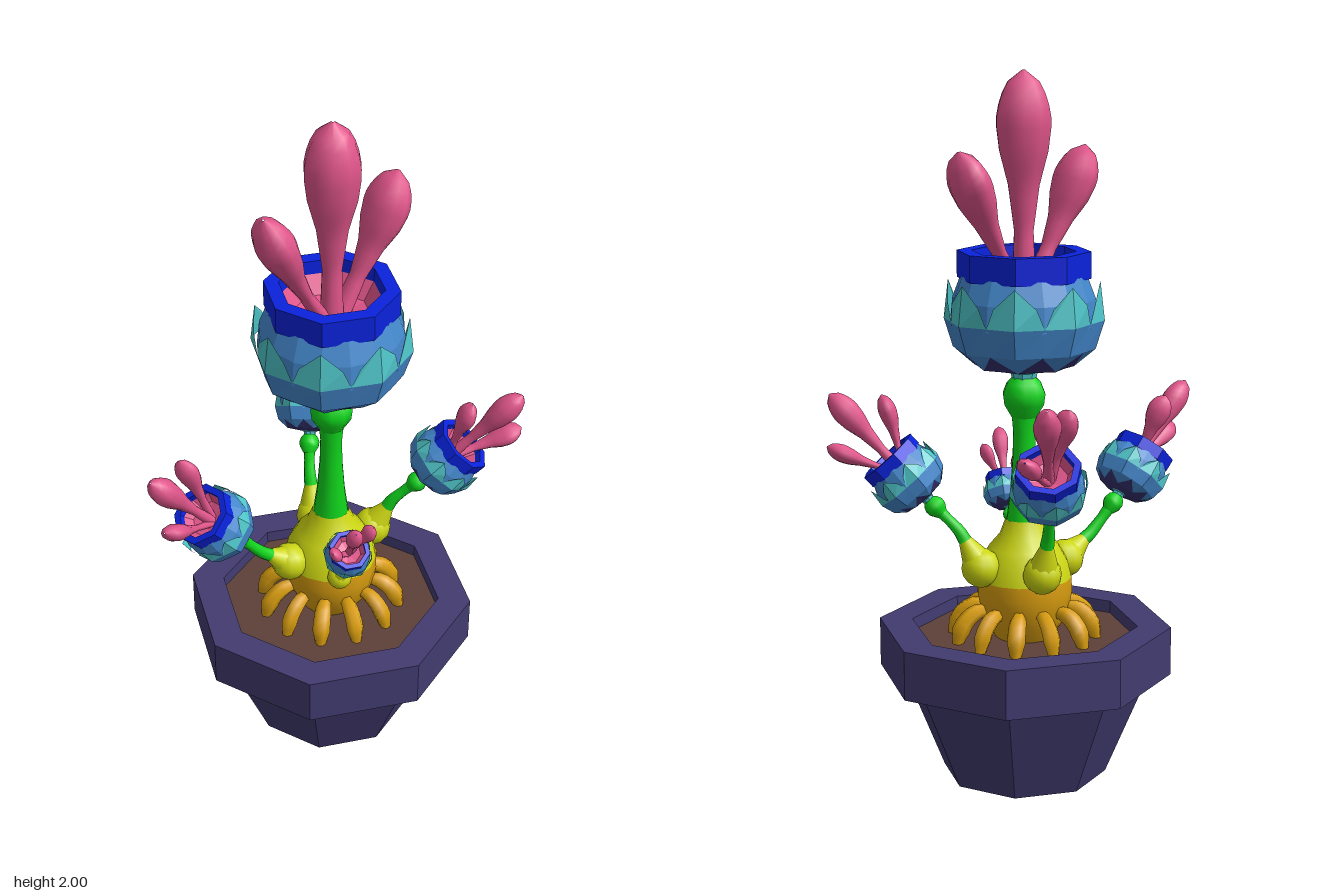
import * as THREE from 'three';
import { mergeVertices } from 'three/addons/utils/BufferGeometryUtils.js';

function mat(name, color, side = THREE.FrontSide) {
  const m = new THREE.MeshStandardMaterial({ color, side });
  m.name = name;
  return m;
}

const V = (a) => new THREE.Vector3(...a);

function add(parent, name, geometry, material) {
  const mesh = new THREE.Mesh(geometry, material);
  mesh.name = name;
  parent.add(mesh);
  return mesh;
}

// Revolved profile of [radius, height] pairs, faceted when flat is true
function lathe(points, sides, flat = false) {
  const g = new THREE.LatheGeometry(points.map((p) => new THREE.Vector2(...p)), sides);
  if (!flat) return g;
  const f = g.toNonIndexed();
  f.computeVertexNormals();
  return f;
}

// Linear lookup in a table of [t, value] pairs
function lookup(table, t) {
  for (let i = 1; i < table.length; i++) {
    const [t0, v0] = table[i - 1], [t1, v1] = table[i];
    if (t <= t1) return v0 + ((v1 - v0) * (t - t0)) / (t1 - t0);
  }
  return table[table.length - 1][1];
}

// Tube along a smooth path whose radius follows a table
function taperTube(path, table, sides = 8, rings = 20, zScale = 1) {
  const curve = new THREE.CatmullRomCurve3(path.map(V));
  let g = new THREE.TubeGeometry(curve, rings, 1, sides, false);
  const pos = g.attributes.position, v = new THREE.Vector3();
  for (let i = 0; i < pos.count; i++) {
    const t = Math.floor(i / (sides + 1)) / rings;
    const c = curve.getPointAt(t);
    v.fromBufferAttribute(pos, i).sub(c).multiplyScalar(lookup(table, t));
    v.z *= zScale;
    v.add(c);
    pos.setXYZ(i, v.x, v.y, v.z);
  }
  g.deleteAttribute('uv');
  g.deleteAttribute('normal');
  g = mergeVertices(g, 1e-5);
  g.computeVertexNormals();
  return g;
}

// Faceted geometry from a list of convex polygons
function facets(polys) {
  const out = [];
  for (const p of polys)
    for (let i = 1; i < p.length - 1; i++) out.push(...p[0], ...p[i], ...p[i + 1]);
  const g = new THREE.BufferGeometry();
  g.setAttribute('position', new THREE.Float32BufferAttribute(out, 3));
  g.computeVertexNormals();
  return g;
}

// Eight pointed petals: dark feet, blue bellies and teal tips
function petalFaces() {
  const teal = [], blue = [], navy = [];
  for (let k = 0; k < 8; k++) {
    const P = (half, r, y) => {
      const a = ((k + half / 2) * Math.PI) / 4;
      return [Math.sin(a) * r, y, Math.cos(a) * r];
    };
    const c1 = P(0, 0.14, 0.09), c2 = P(0, 0.2, 0.14), c3 = P(0, 0.225, 0.22);
    const tip = P(0, 0.212, 0.33), c0 = P(0, 0.04, 0.075);
    const [l0, r0] = [-1, 1].map((s) => P(s, 0.04, 0.075));
    const [l1, r1] = [-1, 1].map((s) => P(s, 0.125, 0.09));
    const [l2, r2] = [-1, 1].map((s) => P(s, 0.187, 0.14));
    const [l3, r3] = [-1, 1].map((s) => P(s, 0.208, 0.22));
    const [l4, r4] = [-1, 1].map((s) => P(s * 0.72, 0.212, 0.275));
    navy.push([l0, c0, c1, l1], [c0, r0, r1, c1], [l1, c1, l2], [c1, r1, r2]);
    blue.push([l2, c1, c2], [c1, r2, c2], [l2, c2, c3, l3], [c2, r2, r3, c3]);
    teal.push([l3, c3, tip, l4], [c3, r3, r4, tip]);
  }
  return { teal, blue, navy };
}

const PISTIL = [[0, 0.035], [0.3, 0.028], [0.5, 0.045], [0.65, 0.07], [0.78, 0.08],
  [0.88, 0.068], [0.95, 0.045], [1, 0.004]];

export function createModel() {
  const root = new THREE.Group();
  root.name = 'pottedFlower';
  const M = {
    pot: mat('potPurple', 0x423b70),
    soil: mat('soilBrown', 0x5c4038),
    yellow: mat('bulbYellow', 0xccd612),
    orange: mat('rootOrange', 0xdb9f10),
    green: mat('stemGreen', 0x10d41c),
    rim: mat('rimBlue', 0x0a22dc),
    teal: mat('petalTeal', 0x50c6ca, THREE.DoubleSide),
    blue: mat('petalBlue', 0x4488cc),
    navy: mat('petalNavy', 0x35306e),
    pink: mat('pistilPink', 0xe0558a),
  };

  const plant = new THREE.Group();
  plant.name = 'plant';
  plant.position.set(0.05, 0, 0.012);
  root.add(plant);

  // Octagonal pot with a thick rim, and the soil inside
  add(plant, 'pot', lathe([[0, 0], [0.235, 0], [0.36, 0.3], [0.42, 0.3], [0.42, 0.44],
    [0.325, 0.44], [0.322, 0.39]], 8, true), M.pot);
  add(plant, 'soil', lathe([[0.324, 0.405], [0, 0.405]], 8, true), M.soil);

  // Bulb in two colours
  add(plant, 'bulbLower', lathe([[0.08, 0.4], [0.105, 0.44], [0.128, 0.49], [0.137, 0.54],
    [0.135, 0.58]], 16), M.orange);
  add(plant, 'bulbUpper', lathe([[0.135, 0.58], [0.125, 0.625], [0.1, 0.67], [0.07, 0.705],
    [0.053, 0.75]], 16), M.yellow);

  // Ring of arched roots
  const rootGeo = taperTube([[0.09, 0.485, 0], [0.14, 0.492, 0], [0.185, 0.46, 0], [0.21, 0.39, 0]],
    [[0, 0.012], [0.35, 0.024], [0.7, 0.026], [1, 0.012]], 6, 10);
  for (let i = 0; i < 12; i++)
    add(plant, 'root', rootGeo, M.orange).rotation.y = ((i + 0.5) * Math.PI) / 6;

  // Main stem
  add(plant, 'mainStem', lathe([[0.053, 0.74], [0.042, 0.82], [0.034, 0.92], [0.032, 1.0],
    [0.038, 1.07]], 10), M.green);

  // Shared flower parts, with the origin at the knob under the flower
  const faces = petalFaces();
  const sidePath = (s) => [[s * 0.02, 0.3, 0], [s * 0.08, 0.4, 0], [s * 0.16, 0.55, 0], [s * 0.22, 0.69, 0]];
  const slim = PISTIL.map(([t, r]) => [t, r * 0.66]);
  const parts = [
    ['knob', lathe([[0.034, -0.06], [0.058, -0.02], [0.062, 0.01], [0.05, 0.04], [0.03, 0.06]], 10), M.green],
    ['neck', lathe([[0.032, 0.04], [0.038, 0.07], [0.07, 0.092]], 8, true), M.teal],
    ['petalFeet', facets(faces.navy), M.navy],
    ['petalBellies', facets(faces.blue), M.blue],
    ['petalTips', facets(faces.teal), M.teal],
    ['cup', lathe([[0.207, 0.21], [0.2, 0.28], [0.175, 0.345]], 16, true), M.blue],
    ['rim', lathe([[0.17, 0.335], [0.187, 0.335], [0.187, 0.41], [0.145, 0.41], [0.142, 0.35]], 8, true), M.rim],
    ['bowl', lathe([[0.146, 0.375], [0.11, 0.32], [0, 0.29]], 8, true), M.pink],
    ['centrePistil', taperTube([[0, 0.28, 0], [0, 0.5, 0], [0, 0.7, 0], [0, 0.9, 0]], PISTIL, 10), M.pink],
    ['leftPistil', taperTube(sidePath(1), slim, 10, 20, 1.45), M.pink],
    ['rightPistil', taperTube(sidePath(-1), slim, 10, 20, 1.45), M.pink],
  ];

  function flower(name, parent, position, dir, scale, twist) {
    const g = new THREE.Group();
    g.name = name;
    for (const [n, geo, m] of parts) add(g, n, geo, m);
    g.position.set(...position);
    g.scale.setScalar(scale);
    g.quaternion.setFromUnitVectors(new THREE.Vector3(0, 1, 0), V(dir).normalize());
    g.rotateY(twist);
    parent.add(g);
  }
  flower('mainFlower', plant, [0, 1.1, 0], [0, 1, 0], 1, 0);

  // Side shoots: yellow bud on the bulb, curved stem, tilted flower
  const shoots = [
    { name: 'rightFlower', bud: [-0.09, 0.61, 0], r: 0.055, mid: [-0.175, 0.675, -0.015],
      knob: [-0.245, 0.755, -0.03], dir: [-0.65, 0.76, 0], scale: 0.48, twist: 0.6 },
    { name: 'leftFlower', bud: [0.19, 0.625, 0.03], r: 0.056, mid: [0.235, 0.73, 0.07],
      knob: [0.285, 0.8, 0.115], dir: [0.5, 0.72, 0.42], scale: 0.48, twist: -0.3 },
    { name: 'backFlower', bud: [0.09, 0.62, -0.12], r: 0.055, mid: [0.105, 0.74, -0.165],
      knob: [0.13, 0.82, -0.2], dir: [0.4, 0.78, -0.47], scale: 0.48, twist: 0.3 },
    { name: 'smallFrontFlower', bud: [-0.01, 0.602, 0.135], r: 0.036, mid: [-0.02, 0.655, 0.17],
      knob: [-0.035, 0.71, 0.19], dir: [-0.25, 0.8, 0.5], scale: 0.31, twist: 0 },
  ];
  for (const s of shoots) {
    add(root, s.name + 'Bud', new THREE.SphereGeometry(s.r, 12, 8), M.yellow).position.set(...s.bud);
    // Short cone where the bud turns into the stem
    const start = V(s.bud), mid = V(s.mid);
    const shoulder = start.clone().lerp(mid, 0.75);
    add(root, s.name + 'BudTip', taperTube([s.bud, shoulder.toArray()],
      [[0, s.r * 0.95], [1, s.scale * 0.04]], 10, 6), M.yellow);
    add(root, s.name + 'Stem', taperTube([shoulder.toArray(), s.mid, s.knob],
      [[0, s.scale * 0.042], [0.6, s.scale * 0.032], [1, s.scale * 0.04]], 8, 12), M.green);
    flower(s.name, root, s.knob, s.dir, s.scale, s.twist);
  }
  return root;
}
